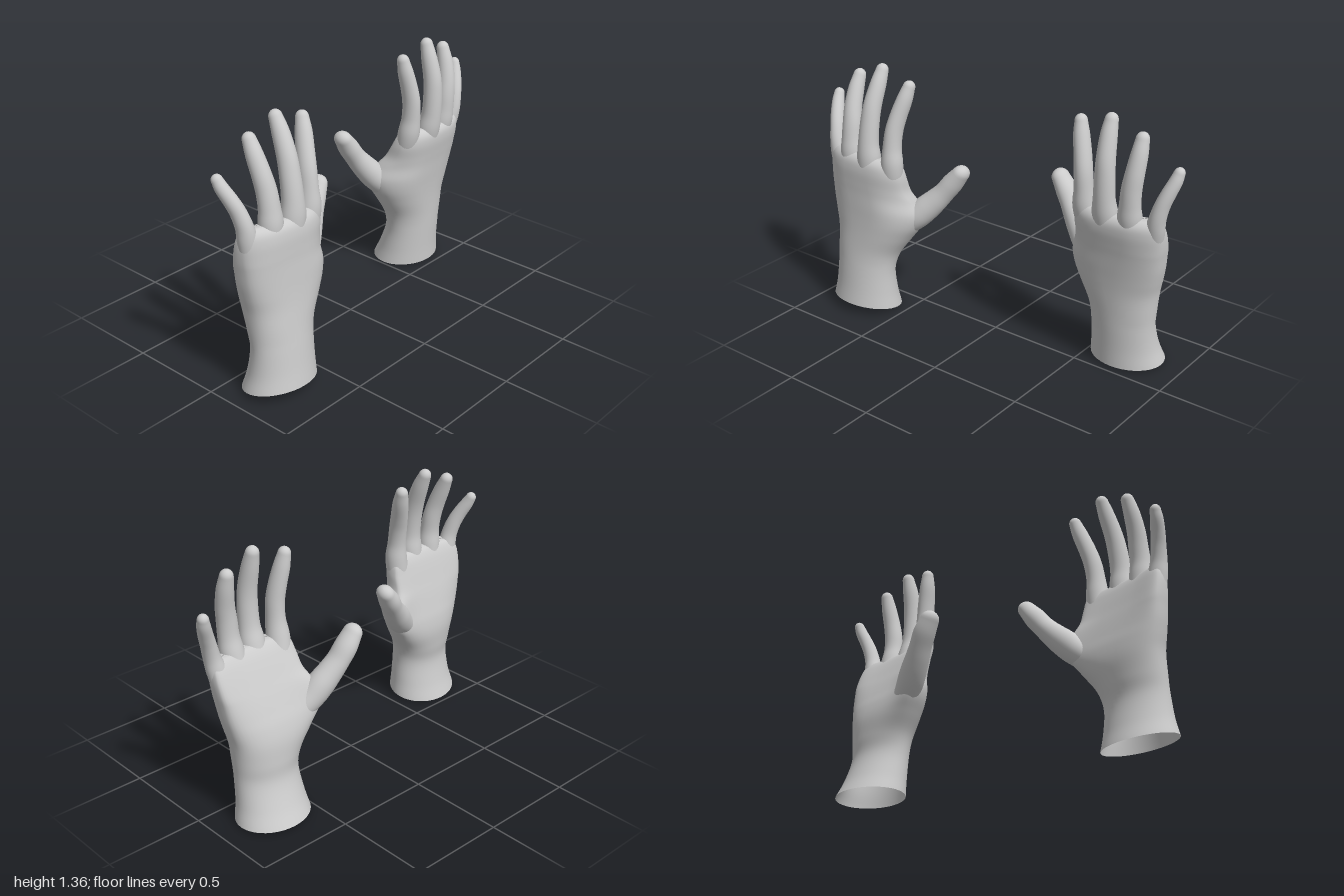
import * as THREE from 'three';

const SIDES = 40;
const skin = new THREE.MeshStandardMaterial({ color: 0xcccccc, side: THREE.DoubleSide });

// Skin a list of closed rings (each SIDES points) into one smooth surface.
function loft(name, rings) {
  const index = [];
  for (let r = 0; r < rings.length - 1; r++) {
    for (let i = 0; i < SIDES; i++) {
      const j = (i + 1) % SIDES;
      const a = r * SIDES + i, b = r * SIDES + j;
      index.push(a, b, a + SIDES, b, b + SIDES, a + SIDES);
    }
  }
  const geometry = new THREE.BufferGeometry().setFromPoints(rings.flat());
  geometry.setIndex(index);
  geometry.computeVertexNormals();
  const mesh = new THREE.Mesh(geometry, skin);
  mesh.name = name;
  return mesh;
}

// Smoothly resample rows of numbers; the parameter runs over the row number.
function resample(rows, steps) {
  const size = rows[0].length;
  const spline = new THREE.CubicInterpolant(rows.map((_, i) => i), rows.flat(), size, new Float32Array(size));
  return Array.from({ length: steps + 1 }, (_, i) =>
    Array.from(spline.evaluate((i / steps) * (rows.length - 1))));
}

// Wrist and palm: rows of y, palm side x, back side x, thumb side z, little finger
// side z, then how far the thumb edge and the little finger edge curl to the palm side.
function palm() {
  const rows = resample([
    [0.01, -0.36, -0.03, 0.5, 0.893, 0, 0],
    [0.1, -0.315, -0.027, 0.512, 0.872, 0, 0],
    [0.22, -0.272, -0.02, 0.518, 0.862, 0, 0],
    [0.32, -0.268, -0.015, 0.5, 0.866, 0.005, 0],
    [0.42, -0.262, -0.008, 0.445, 0.875, 0.025, 0.005],
    [0.5, -0.242, 0, 0.4, 0.893, 0.055, 0.01],
    [0.57, -0.212, 0.009, 0.385, 0.908, 0.08, 0.02],
    [0.64, -0.18, 0.018, 0.415, 0.918, 0.07, 0.03],
    [0.7, -0.15, 0.028, 0.44, 0.926, 0.045, 0.04],
    [0.77, -0.115, 0.039, 0.447, 0.929, 0.035, 0.045],
    [0.82, -0.086, 0.037, 0.458, 0.922, 0.035, 0.045],
    [0.85, -0.058, 0.015, 0.48, 0.9, 0.03, 0.04],
    [0.856, -0.025, -0.02, 0.5, 0.88, 0.03, 0.04],
  ], 72);
  return loft('palm', rows.map(([y, x0, x1, z0, z1, thumbCurl, littleCurl]) => {
    const power = 1 - Math.min(0.38, Math.max(0, (y - 0.25) * 0.9));
    const ring = [];
    for (let i = 0; i < SIDES; i++) {
      const a = (i / SIDES) * Math.PI * 2;
      const c = Math.sign(Math.cos(a)) * Math.abs(Math.cos(a)) ** power;
      const s = Math.sign(Math.sin(a)) * Math.abs(Math.sin(a)) ** power;
      const curl = c < 0 ? thumbCurl * -(c ** 3) : littleCurl * c * c;
      ring.push(new THREE.Vector3(
        (x0 + x1) / 2 + (x1 - x0) / 2 * s - curl, y,
        (z0 + z1) / 2 + (z1 - z0) / 2 * c));
    }
    return ring;
  }));
}

// Finger: rows of x, y, z, half width, half depth, closed with a round tip.
function finger(name, points) {
  const rows = resample(points, 36);
  const centre = rows.map(r => new THREE.Vector3(r[0], r[1], r[2]));
  const rings = [];
  const addRing = (c, tangent, width, depth) => {
    const n = new THREE.Vector3(1, 0, 0).addScaledVector(tangent, -tangent.x).normalize();
    const b = new THREE.Vector3().crossVectors(tangent, n);
    rings.push(Array.from({ length: SIDES }, (_, i) => {
      const a = (i / SIDES) * Math.PI * 2;
      return c.clone().addScaledVector(n, Math.cos(a) * depth).addScaledVector(b, Math.sin(a) * width);
    }));
  };
  let tangent;
  rows.forEach((r, i) => {
    tangent = centre[Math.min(i + 1, 36)].clone().sub(centre[Math.max(i - 1, 0)]).normalize();
    addRing(centre[i], tangent, r[3], r[4]);
  });
  const [, , , width, depth] = rows[36];
  for (let k = 1; k <= 7; k++) {
    const a = (k / 7) * Math.PI / 2, s = Math.max(Math.cos(a), 0.002);
    addRing(centre[36].clone().addScaledVector(tangent, Math.sin(a) * width * 1.1), tangent, width * s, depth * s);
  }
  return loft(name, rings);
}

function hand(name) {
  const group = new THREE.Group();
  group.name = name;
  // Each root starts hidden inside the palm and surfaces gradually at the knuckle.
  group.add(
    palm(),
    finger('indexFinger', [
      [-0.09, 0.62, 0.55, 0.03, 0.03], [-0.065, 0.73, 0.518, 0.056, 0.052], [-0.038, 0.84, 0.507, 0.058, 0.058],
      [-0.026, 0.93, 0.508, 0.047, 0.051], [-0.023, 1.02, 0.505, 0.044, 0.05], [-0.03, 1.1, 0.494, 0.042, 0.048],
      [-0.042, 1.19, 0.476, 0.039, 0.043], [-0.051, 1.255, 0.465, 0.031, 0.033],
    ]),
    finger('middleFinger', [
      [-0.075, 0.62, 0.655, 0.03, 0.03], [-0.042, 0.73, 0.645, 0.056, 0.056], [-0.012, 0.84, 0.641, 0.064, 0.06],
      [0.005, 0.93, 0.643, 0.054, 0.052], [0.009, 1.04, 0.644, 0.05, 0.049], [0.003, 1.13, 0.643, 0.046, 0.048],
      [-0.018, 1.23, 0.64, 0.041, 0.043], [-0.037, 1.302, 0.64, 0.033, 0.033],
    ]),
    finger('ringFinger', [
      [-0.08, 0.62, 0.755, 0.03, 0.03], [-0.052, 0.73, 0.763, 0.054, 0.054], [-0.024, 0.84, 0.77, 0.061, 0.058],
      [-0.012, 0.92, 0.775, 0.053, 0.05], [-0.01, 1.0, 0.78, 0.05, 0.048], [-0.016, 1.08, 0.79, 0.046, 0.046],
      [-0.034, 1.17, 0.798, 0.041, 0.042], [-0.052, 1.24, 0.8, 0.033, 0.033],
    ]),
    finger('littleFinger', [
      [-0.1, 0.6, 0.84, 0.03, 0.03], [-0.083, 0.7, 0.867, 0.046, 0.045], [-0.06, 0.8, 0.886, 0.049, 0.047],
      [-0.05, 0.87, 0.902, 0.041, 0.044], [-0.055, 0.94, 0.92, 0.037, 0.041], [-0.068, 1.0, 0.941, 0.035, 0.038],
      [-0.088, 1.06, 0.963, 0.032, 0.034], [-0.1, 1.1, 0.973, 0.027, 0.028],
    ]),
    finger('thumb', [
      [-0.15, 0.41, 0.58, 0.03, 0.04], [-0.172, 0.49, 0.495, 0.058, 0.058], [-0.19, 0.555, 0.43, 0.068, 0.068],
      [-0.207, 0.61, 0.385, 0.069, 0.068], [-0.223, 0.665, 0.34, 0.062, 0.063], [-0.237, 0.72, 0.3, 0.054, 0.06],
      [-0.247, 0.78, 0.262, 0.053, 0.06], [-0.25, 0.838, 0.223, 0.043, 0.052],
    ]),
  );
  return group;
}

export function createModel() {
  const model = new THREE.Group();
  model.name = 'pairOfHands';

  // Front hand leans over towards its palm.
  const front = hand('frontHand');
  front.rotation.set(-0.033, 0, 0.18);
  front.position.set(0.388, 0.031, 0.036);

  // Back hand is the upright mirror image.
  const back = hand('backHand');
  back.scale.z = -1;

  model.add(front, back);
  return model;
}
